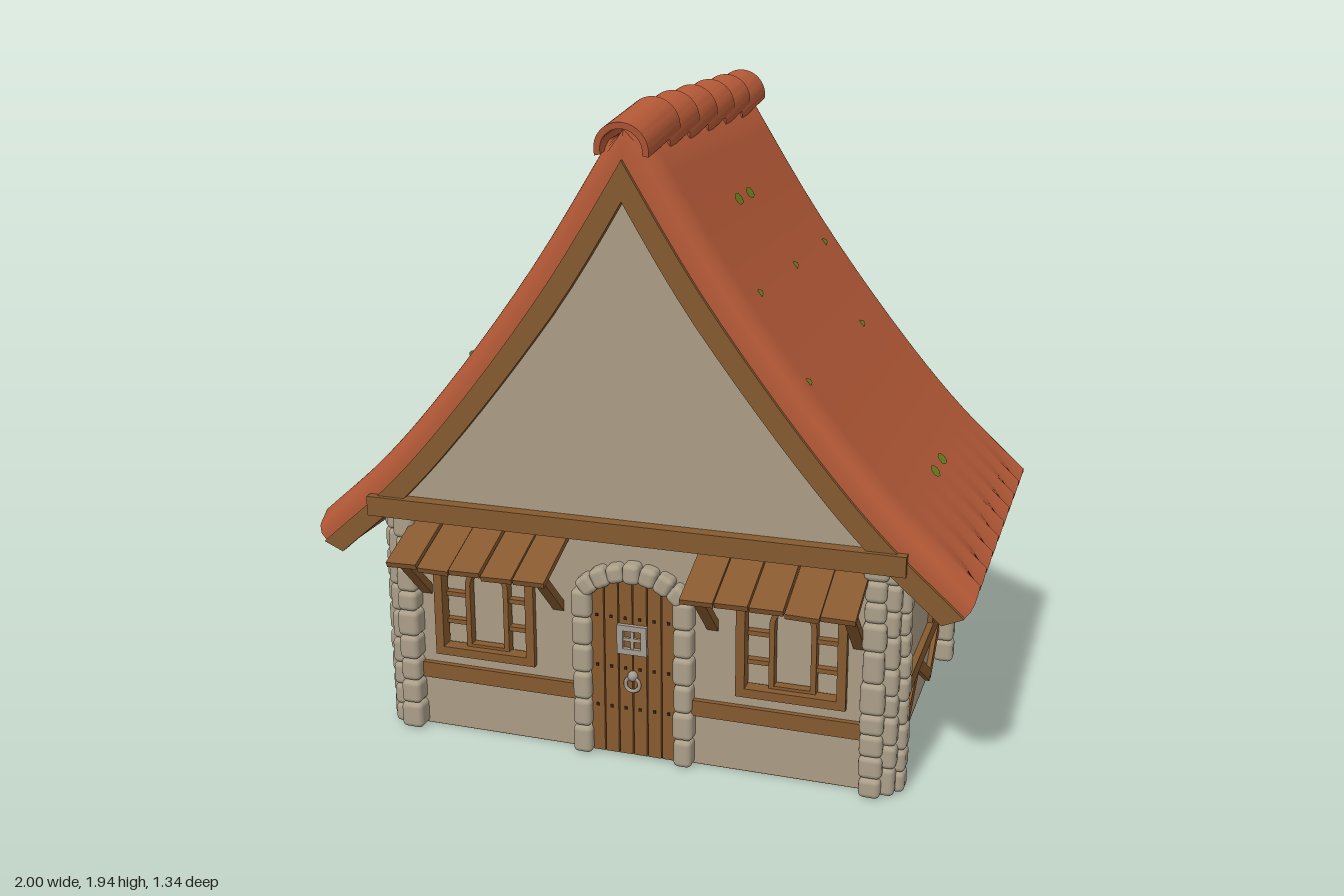
import * as THREE from 'three';
import { toCreasedNormals } from 'three/addons/utils/BufferGeometryUtils.js';
import { RoundedBoxGeometry } from 'three/addons/geometries/RoundedBoxGeometry.js';

const mat = (name, color) => new THREE.MeshStandardMaterial({ name, color });
const M = {
  wall: mat('plaster', 0xaa9c84), wood: mat('timber', 0x85592f), plank: mat('plankWood', 0x87592f),
  dark: mat('darkWood', 0x3f2a1a), tile: mat('roofTile', 0xb25836), stone: mat('stone', 0xaa9e88),
  iron: mat('iron', 0xa39c90), moss: mat('moss', 0x6a7c1e),
};
M.moss.side = THREE.DoubleSide;
let seed = 7;
const rnd = (a, b) => a + (b - a) * ((seed = (seed * 16807) % 2147483647) / 2147483647);

const add = (parent, name, geo, material, x = 0, y = 0, z = 0) => {
  const m = new THREE.Mesh(geo, material);
  m.name = name;
  m.position.set(x, y, z);
  parent.add(m);
  return m;
};
const group = (parent, name) => {
  const g = new THREE.Group();
  g.name = name;
  parent.add(g);
  return g;
};
const box = (p, name, m, w, h, d, x, y, z) => add(p, name, new THREE.BoxGeometry(w, h, d), m, x, y, z);
// Bar lying in the xy plane between two points
const bar = (p, name, m, a, b, w, d, z) => {
  const len = Math.hypot(b[0] - a[0], b[1] - a[1]);
  const s = box(p, name, m, len, w, d, (a[0] + b[0]) / 2, (a[1] + b[1]) / 2, z);
  s.rotation.z = Math.atan2(b[1] - a[1], b[0] - a[0]);
  return s;
};
const stone = (p, w, h, d, x, y, z) => add(p, 'stone', new RoundedBoxGeometry(w, h, d, 2, 0.016), M.stone, x, y, z);
const extrude = (shape, depth) => new THREE.ExtrudeGeometry(shape, { depth, bevelEnabled: false, curveSegments: 16 });

// Arched outline: straight sides and an elliptical head
const arch = (cx, half, y0, spring, rise, T = THREE.Shape) => {
  const s = new T();
  s.moveTo(cx - half, y0);
  s.lineTo(cx + half, y0);
  s.lineTo(cx + half, spring);
  s.absellipse(cx, spring, half, rise, 0, Math.PI, false);
  s.lineTo(cx - half, y0);
  return s;
};

// Swept roof slope; off moves a point inward from the tile surface, and the eave end bulges slightly
const slope = new THREE.CatmullRomCurve3([[0, 1.94], [0.29, 1.485], [0.58, 1.103], [0.79, 0.867], [1, 0.677]]
  .map(([x, y]) => new THREE.Vector3(x, y, 0)));
const roofPoint = (t, off) => {
  const p = slope.getPoint(t), q = slope.getTangent(t);
  const s = off * (1.57 * (1 - t) + 6 * (0.135 - off) * t ** 30);
  return [Math.max(0, p.x + q.y * off + q.x * s), p.y - q.x * off + q.y * s];
};
const N = 20;
const profile = (off) => Array.from({ length: 2 * N + 1 }, (_, i) => {
  const t = Math.abs(i - N) / N, [x, y] = roofPoint(t, off(t));
  return [x * Math.sign(i - N), y];
});
// Slab between two roof profiles, swept along z and capped
const roofSlab = (top, bottom, z0, z1, steps) => {
  const pos = [], idx = [], W = 2 * N + 1, R = 2 * W;
  for (let k = 0; k <= steps; k++) {
    const z = z0 + (z1 - z0) * k / steps;
    const ring = [...profile((t) => top(t, z)), ...profile(bottom).reverse()];
    ring.forEach(([x, y]) => pos.push(x, Math.min(y, 1.88), z));
    if (k < steps) for (let j = 0; j < R; j++) {
      const a = k * R + j, b = k * R + (j + 1) % R;
      idx.push(a, a + R, b, b, a + R, b + R);
    }
  }
  for (let i = 0; i < W - 1; i++) {
    const e = steps * R, t = i, u = i + 1, v = R - 2 - i, w = R - 1 - i;
    idx.push(e + t, e + w, e + v, e + t, e + v, e + u, t, v, w, t, u, v);
  }
  const g = new THREE.BufferGeometry();
  g.setAttribute('position', new THREE.Float32BufferAttribute(pos, 3));
  g.setIndex(idx);
  return toCreasedNormals(g, 0.6);
};

function buildRoof(root) {
  const roof = group(root, 'roof'), z0 = -0.645, z1 = 0.533;
  // Tile skin with rolled verges and a wavy eave
  const tileTop = (t, z) => {
    const wave = Math.abs(((z - z0) / (z1 - z0) * 9) % 1 - 0.5) * 2;
    const k = Math.max(0, 1 - Math.min(z - z0, z1 - z) / 0.08);
    return 0.05 * (1 - Math.sqrt(Math.max(0, 1 - k * k))) + wave * 0.036 * t ** 18 * (1 - k);
  };
  add(roof, 'roofTiles', roofSlab(tileTop, () => 0.075, z0, z1, 108), M.tile);
  add(roof, 'roofBoarding', roofSlab(() => 0.075, () => 0.13, z0, z1, 1), M.wood);
  for (const z of [0.523, -0.655]) add(roof, 'bargeBoard', roofSlab(() => 0.075, () => 0.135, z, z + 0.022, 1), M.wood);
  // Overlapping ridge caps
  const cap = new THREE.Shape();
  cap.absarc(0, 0, 0.078, -0.2, Math.PI + 0.2, false);
  cap.absarc(0, 0, 0.06, Math.PI + 0.2, -0.2, true);
  const capGeo = toCreasedNormals(extrude(cap, 0.28), 0.6);
  for (let i = 0; i < 6; i++) add(roof, 'ridgeTile', capGeo, M.tile, 0, 1.867, 0.265 - 0.184 * i).rotation.x = 0.15;
  for (const s of [-1, 1]) {
    // Flat moss patches
    for (const t of [0.169, 0.767]) for (const z of [0.067, -0.055]) {
      const [x, y] = roofPoint(t, -0.003), q = slope.getTangent(t);
      const m = add(roof, 'moss', new THREE.CircleGeometry(0.032, 9), M.moss, s * x, y, z);
      m.lookAt(s * (x - q.y), y + q.x, z);
      m.scale.y = 0.6;
    }
    // Small upright moss tufts between the tiles
    for (const [t, z] of [[0.29, -0.45], [0.29, -0.06], [0.29, 0.35], [0.43, -0.28], [0.43, 0.44]]) {
      const [x, y] = roofPoint(t, 0);
      add(roof, 'mossTuft', new THREE.CircleGeometry(0.012, 7), M.moss, s * x, y, z);
    }
  }
  // Attic block with plaster gables and timber soffit
  const gable = new THREE.Shape();
  profile(() => 0.12).filter(([, y]) => y > 0.73).forEach(([x, y], i) => {
    if (!i) gable.moveTo(-0.77, 0.72);
    gable.lineTo(x, y);
  });
  gable.lineTo(0.77, 0.72);
  add(roof, 'gable', extrude(gable, 1.155), [M.wall, M.wood], 0, 0, -0.635);
  box(roof, 'frontTieBeam', M.wood, 1.62, 0.06, 0.06, 0, 0.74, 0.53);
  box(roof, 'backTieBeam', M.wood, 1.62, 0.06, 0.06, 0, 0.74, -0.642);
}

function buildWalls(root) {
  const walls = group(root, 'walls');
  box(walls, 'floor', M.wood, 1.5, 0.006, 0.99, 0, 0.003, -0.033);
  box(walls, 'wallBlock', M.wall, 1.5, 0.72, 0.955, 0, 0.364, -0.0525);
  const front = new THREE.Shape([[-0.75, 0.004], [0.75, 0.004], [0.75, 0.724], [-0.75, 0.724]].map((p) => new THREE.Vector2(...p)));
  for (const s of [-1, 1]) front.holes.push(arch(s * 0.4775, 0.145, 0.27, 0.51, 0.085, THREE.Path));
  add(walls, 'frontWall', extrude(front, 0.04), M.wall, 0, 0, 0.425);
  for (const s of [-1, 1]) box(walls, 'frontRail', M.wood, 0.53, 0.05, 0.03, s * 0.445, 0.19, 0.467);

  // Timber framing: posts and zigzag braces; the local z axis faces outward
  const framing = (name, half, posts, peaks, rot, x, z) => {
    const f = group(walls, name);
    f.position.set(x, 0, z);
    f.rotation.y = rot;
    box(f, 'rail', M.wood, half * 2, 0.05, 0.03, 0, 0.19, 0.005);
    posts.forEach((p, i) => {
      box(f, 'post', M.wood, 0.028, 0.51, 0.024, p, 0.465, 0.004);
      for (const q of [peaks[i], peaks[i + 1]]) bar(f, 'brace', M.wood, [p, 0.022], [q, 0.175], 0.04, 0.022, 0.004);
    });
  };
  for (const s of [-1, 1]) framing('sideFraming', 0.43, [-0.245, 0.245], [-0.45, 0, 0.45], s * Math.PI / 2, s * 0.75, -0.053);
  framing('backFraming', 0.7, [-0.48, 0, 0.48], [-0.7, -0.24, 0.24, 0.7], Math.PI, 0, -0.53);

  // Corner piers: a stack of rough stones on each face and one between them
  for (const sx of [-1, 1]) for (const [z, sz] of [[0.453, 1], [-0.515, -1]]) {
    const pier = group(walls, 'cornerPier');
    for (const [dx, dz] of [[0.005, 0.005], [-0.03, 0.03], [0.03, -0.03]]) {
      for (let y = 0; y < 0.7;) {
        const h = Math.min(rnd(0.06, 0.1), 0.72 - y);
        const hh = 0.72 - y - h < 0.04 ? 0.72 - y : h;
        stone(pier, rnd(0.06, 0.072), hh, rnd(0.06, 0.072), sx * (0.75 + dx), y + hh / 2, z + sz * dz);
        y += hh;
      }
    }
  }
}

function buildWindow(root, s) {
  const w = group(root, 'window'), c = s * 0.4775;
  const ring = (half, y0, spring, rise, t) => {
    const a = arch(c, half, y0, spring, rise);
    a.holes.push(arch(c, half - t, y0 + t, spring, rise - t, THREE.Path));
    return a;
  };
  add(w, 'windowFrame', extrude(ring(0.163, 0.25, 0.51, 0.1, 0.027), 0.045), M.wood, 0, 0, 0.44);
  add(w, 'innerArch', extrude(ring(0.07, 0.27, 0.475, 0.07, 0.016), 0.03), M.wood, 0, 0, 0.43);
  for (const d of [-1, 1]) {
    for (const y of [0.35, 0.44]) box(w, 'glazingBar', M.wood, 0.085, 0.014, 0.024, c + d * 0.1, y, 0.44);
    bar(w, 'glazingBar', M.wood, [c + d * 0.045, 0.515], [c + d * 0.11, 0.575], 0.014, 0.024, 0.44);
  }
  // Plank canopy on two struts
  const canopy = group(w, 'canopy');
  for (let i = 0; i < 5; i++) {
    const p = box(canopy, 'canopyPlank', M.plank, 0.096, 0.018, 0.222, s * (0.25 + i * 0.1), 0.645 + rnd(-0.006, 0.006), 0.562);
    p.rotation.set(0.37, 0, rnd(-0.04, 0.04));
  }
  for (const x of [0.24, 0.672]) box(canopy, 'strut', M.wood, 0.035, 0.024, 0.24, s * x, 0.525, 0.535).rotation.x = -0.78;
}

function buildDoor(root) {
  const door = group(root, 'door'), head = (x) => 0.378 + Math.sqrt(0.036 - x * x);
  box(door, 'doorBack', M.dark, 0.27, 0.51, 0.012, 0, 0.259, 0.464);
  for (let i = 0; i < 6; i++) {
    const a = -0.132 + i * 0.0445, b = a + 0.0405;
    const s = new THREE.Shape([[a, 0.008], [b, 0.008], [b, head(b)], [a, head(a)]].map((p) => new THREE.Vector2(...p)));
    add(door, 'doorPlank', extrude(s, 0.018), M.plank, 0, 0, 0.464);
    for (const y of [0.16, 0.29, 0.45]) box(door, 'nail', M.dark, 0.008, 0.008, 0.006, (a + b) / 2, y, 0.484);
  }
  // Grille and ring handle
  for (const d of [-1, 1]) {
    box(door, 'grilleFrame', M.iron, 0.092, 0.018, 0.014, 0, 0.385 + d * 0.037, 0.488);
    box(door, 'grilleFrame', M.iron, 0.018, 0.092, 0.014, d * 0.037, 0.385, 0.488);
  }
  box(door, 'grilleBar', M.iron, 0.07, 0.01, 0.008, 0, 0.385, 0.487);
  box(door, 'grilleBar', M.iron, 0.01, 0.07, 0.008, 0, 0.385, 0.487);
  add(door, 'handleRing', new THREE.TorusGeometry(0.022, 0.006, 6, 18), M.iron, 0, 0.243, 0.49);
  add(door, 'handleBoss', new THREE.SphereGeometry(0.016, 10, 8), M.iron, 0, 0.268, 0.486);
  // Stone jambs and segmental arch
  for (const s of [-1, 1]) for (let i = 0; i < 6; i++) stone(door, rnd(0.054, 0.064), 0.088, 0.08, s * 0.157, 0.044 + i * 0.088, 0.468);
  for (let i = 0; i < 7; i++) {
    const a = (i - 3) * 0.235;
    stone(door, 0.052, rnd(0.054, 0.064), 0.08, 0.217 * Math.sin(a), 0.378 + 0.217 * Math.cos(a), 0.468).rotation.z = -a;
  }
}

export function createModel() {
  const root = new THREE.Group();
  root.name = 'cottage';
  buildWalls(root);
  buildRoof(root);
  for (const s of [-1, 1]) buildWindow(root, s);
  buildDoor(root);
  return root;
}
